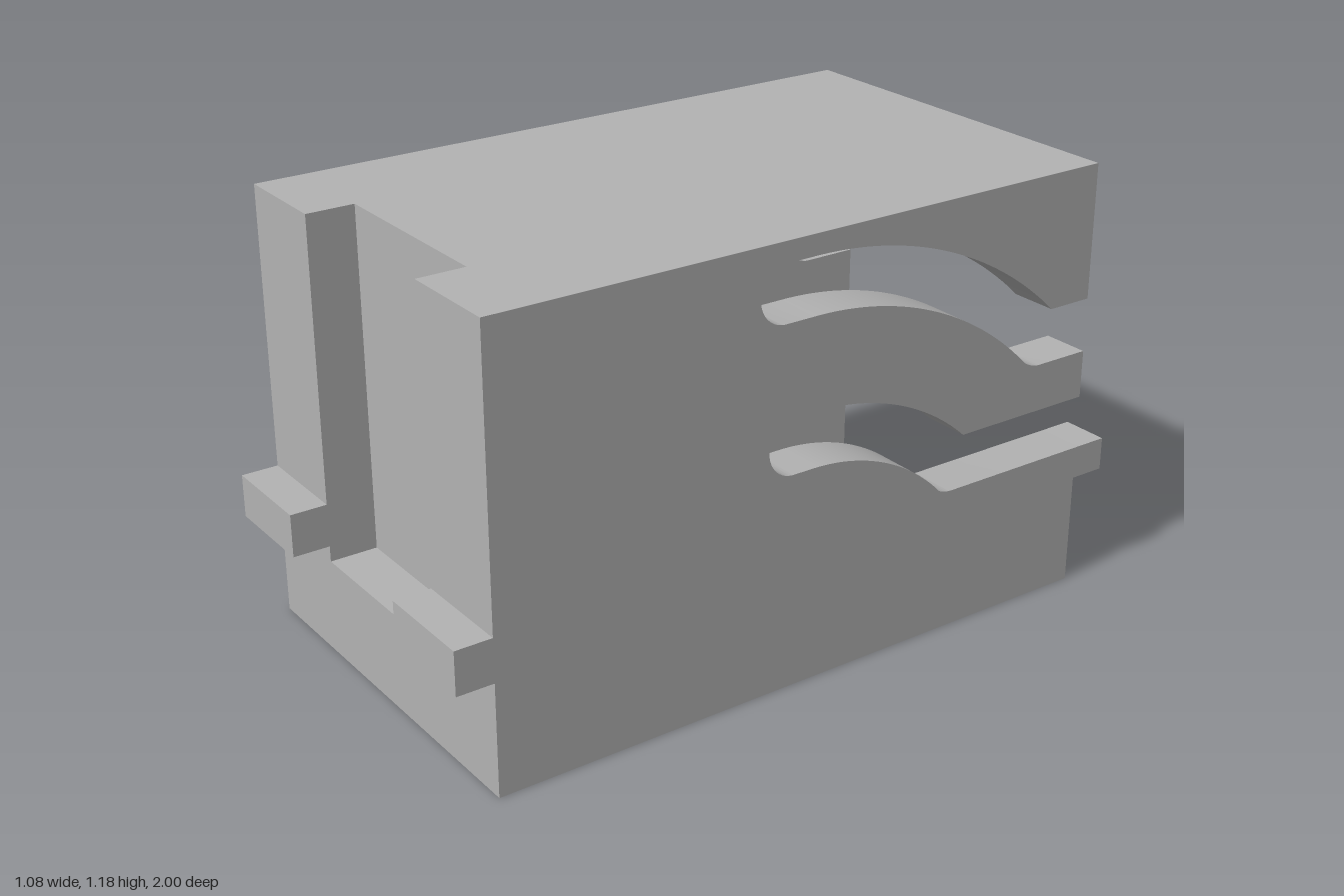
import * as THREE from 'three';
import { toCreasedNormals } from 'three/addons/utils/BufferGeometryUtils.js';

const W = 0.54, WALL = 0.13, H = 1.185, BACK = 0.9, FRONT = 0.9;
const CEIL = 1.146, INNER_FRONT = 0.685, RECESS_X = 0.263, RECESS_Y = 0.262;
const ARC_Y = 0.015; // shared centre height of the slot arcs

export function createModel() {
  const model = new THREE.Group();
  model.name = 'slottedHousing';
  const grey = new THREE.MeshStandardMaterial({ color: 0xb2b2b2 });
  grey.name = 'plainGrey';

  function add(name, geometry) {
    const mesh = new THREE.Mesh(geometry, grey);
    mesh.name = name;
    model.add(mesh);
    return mesh;
  }
  // Box given by its lower and upper corners
  function box(name, x0, x1, y0, y1, z0, z1) {
    add(name, new THREE.BoxGeometry(x1 - x0, y1 - y0, z1 - z0))
      .position.set((x0 + x1) / 2, (y0 + y1) / 2, (z0 + z1) / 2);
  }

  // Curved slot cut in from the rear edge; horizontal axis of the shape is -z
  function cutSlot(shape, rIn, rOut, floor, roof, capX) {
    const mid = (rIn + rOut) / 2;
    const a = Math.asin((floor - ARC_Y) / rIn) + 0.025;
    const corner = rIn * Math.cos(a - 0.025);
    shape.lineTo(corner + 0.035, floor);
    shape.quadraticCurveTo(corner + 0.012, floor, rIn * Math.cos(a), ARC_Y + rIn * Math.sin(a));
    shape.absarc(0, ARC_Y, rIn, a, Math.PI / 2, false);
    shape.absarc(capX, ARC_Y + mid, (rOut - rIn) / 2, -Math.PI / 2, -Math.PI * 1.5, true);
    shape.absarc(0, ARC_Y, rOut, Math.PI / 2, Math.asin((roof - ARC_Y) / rOut), true);
    shape.lineTo(BACK, roof);
  }

  // Side walls with two slots and a rear tab
  const side = new THREE.Shape();
  side.moveTo(-INNER_FRONT, 0);
  side.lineTo(BACK, 0);
  side.lineTo(BACK, 0.305);
  side.lineTo(1, 0.305);
  side.lineTo(1, 0.395);
  cutSlot(side, 0.57, 0.719, 0.395, 0.543, -0.058);
  side.lineTo(BACK, 0.673);
  cutSlot(side, 0.965, 1.115, 0.673, 0.82, -0.09);
  side.lineTo(BACK, CEIL);
  side.lineTo(-INNER_FRONT, CEIL);
  side.closePath();
  const sideGeo = toCreasedNormals(
    new THREE.ExtrudeGeometry(side, { depth: WALL, bevelEnabled: false, curveSegments: 24 }), 0.4);
  sideGeo.rotateY(Math.PI / 2);
  add('leftWall', sideGeo).position.x = W - WALL;
  add('rightWall', sideGeo).position.x = -W;

  // Roof plate
  box('roof', -W, W, CEIL, H, -BACK, INNER_FRONT);

  // Front wall: solid base below a tall recess
  box('frontBase', -W, W, 0, RECESS_Y, INNER_FRONT, FRONT);
  const recess = [[-W, -FRONT], [-RECESS_X, -FRONT], [-RECESS_X, -0.77], [RECESS_X, -0.77],
    [RECESS_X, -FRONT], [W, -FRONT], [W, -INNER_FRONT], [-W, -INNER_FRONT]];
  const frontGeo = new THREE.ExtrudeGeometry(
    new THREE.Shape(recess.map(([x, y]) => new THREE.Vector2(x, y))),
    { depth: H - RECESS_Y, bevelEnabled: false });
  frontGeo.rotateX(-Math.PI / 2);
  add('recessedFront', frontGeo).position.y = RECESS_Y;

  // Front tabs beside the recess
  box('leftFrontTab', RECESS_X, W, 0.305, 0.422, FRONT, 1);
  box('rightFrontTab', -W, -RECESS_X, 0.305, 0.422, FRONT, 1);

  return model;
}
